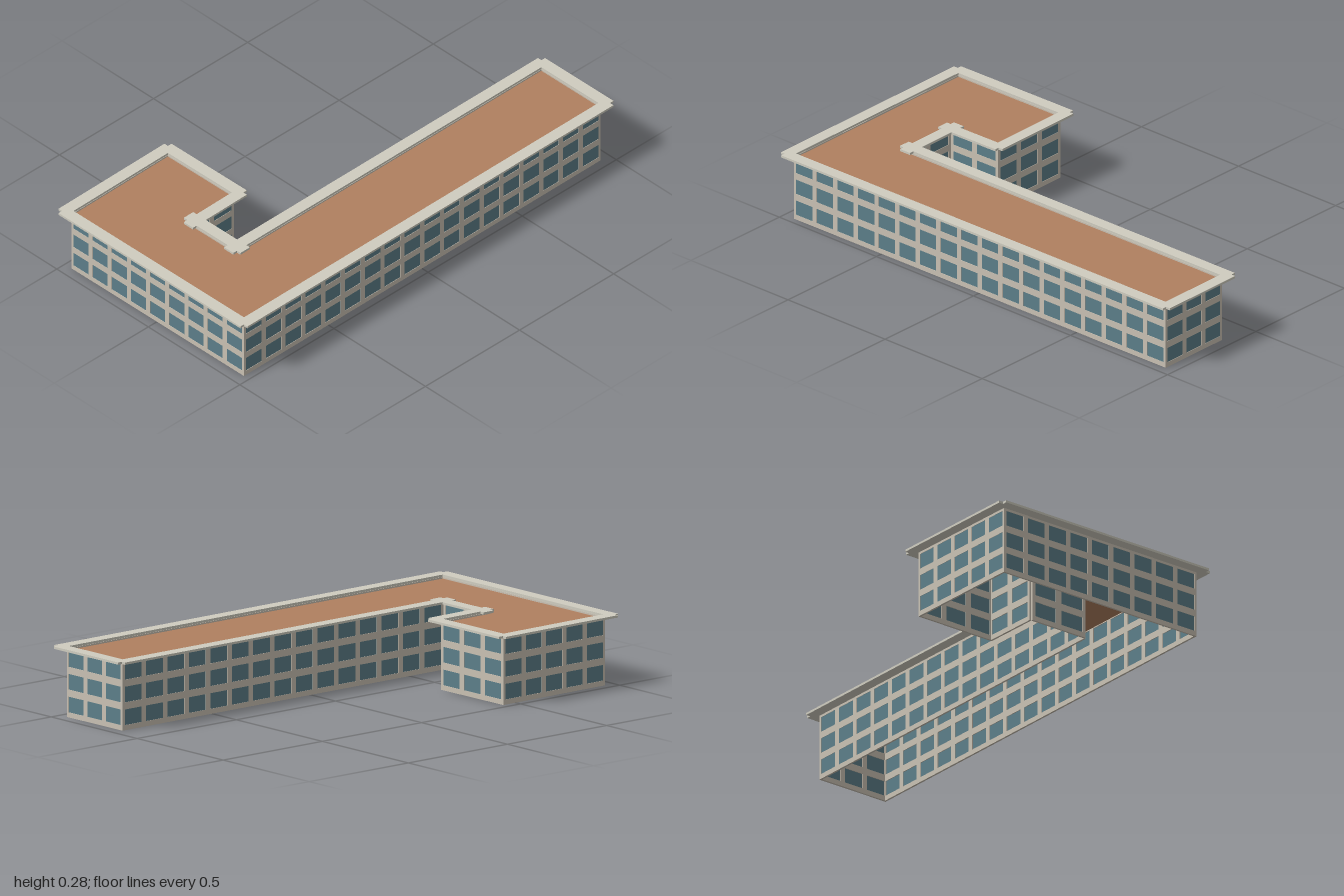
import * as THREE from 'three';
import { mergeGeometries } from 'three/addons/utils/BufferGeometryUtils.js';

const WALL_HEIGHT = 0.268, ROOF_Y = 0.262, THICKNESS = 0.008;
const BAY = 0.106, FLOORS = 3, SILL = 0.02, STOREY = 0.0887, WINDOW_HEIGHT = 0.061;

// Footprint corners (x, z), ordered so that each wall's local +z points outward
const FOOTPRINT = [
  [-0.957, -0.465], [-0.951, 0.472], [0.955, 0.461], [0.953, 0.139],
  [-0.671, 0.146], [-0.673, -0.111], [-0.433, -0.115], [-0.437, -0.472],
];

const material = (color) => new THREE.MeshStandardMaterial({ color, side: THREE.DoubleSide });

function rectangle(Type, x, y, w, h) {
  return new Type([[x, y], [x + w, y], [x + w, y + h], [x, y + h]].map((p) => new THREE.Vector2(...p)));
}

export function createModel() {
  const building = new THREE.Group();
  building.name = 'building';
  const wallMaterial = material(0xc9c1b3);
  const glassMaterial = material(0x5c7e89);
  const corniceMaterial = material(0xcfccbf);

  const add = (parent, name, geometry, mat) => {
    const mesh = new THREE.Mesh(geometry, mat);
    mesh.name = name;
    parent.add(mesh);
    return mesh;
  };

  FOOTPRINT.forEach(([x0, z0], i) => {
    const [x1, z1] = FOOTPRINT[(i + 1) % FOOTPRINT.length];
    const length = Math.hypot(x1 - x0, z1 - z0);
    const side = new THREE.Group();
    side.name = 'facade';
    side.position.set(x0, 0, z0);
    side.rotation.y = Math.atan2(z0 - z1, x1 - x0);
    building.add(side);

    // Wall with a regular grid of window openings, and a pane in each
    const wall = rectangle(THREE.Shape, 0, 0, length, WALL_HEIGHT);
    const panes = [];
    const bays = Math.round(length / BAY);
    const pitch = length / bays, width = pitch * 0.79;
    for (let floor = 0; floor < FLOORS; floor++) {
      for (let bay = 0; bay < bays; bay++) {
        const x = (bay + 0.5) * pitch, y = SILL + floor * STOREY;
        wall.holes.push(rectangle(THREE.Path, x - width / 2, y, width, WINDOW_HEIGHT));
        panes.push(new THREE.BoxGeometry(width, WINDOW_HEIGHT, 0.003)
          .translate(x, y + WINDOW_HEIGHT / 2, -0.003));
      }
    }
    const wallGeometry = new THREE.ExtrudeGeometry(wall, { depth: THICKNESS, bevelEnabled: false });
    add(side, 'wall', wallGeometry.translate(0, 0, -THICKNESS), wallMaterial);
    add(side, 'windows', mergeGeometries(panes), glassMaterial);

    // Overhanging cornice strip, running a little past both ends
    const cornice = add(side, 'cornice', new THREE.BoxGeometry(length + 0.05, 0.009, 0.05), corniceMaterial);
    cornice.position.set(length / 2, 0.2725, 0.019);
  });

  // Flat roof just below the cornice
  const outline = new THREE.Shape(FOOTPRINT.map(([x, z]) => new THREE.Vector2(x, -z)));
  const roof = add(building, 'roof', new THREE.ShapeGeometry(outline).rotateX(-Math.PI / 2), material(0xb08060));
  roof.position.y = ROOF_Y;

  return building;
}
